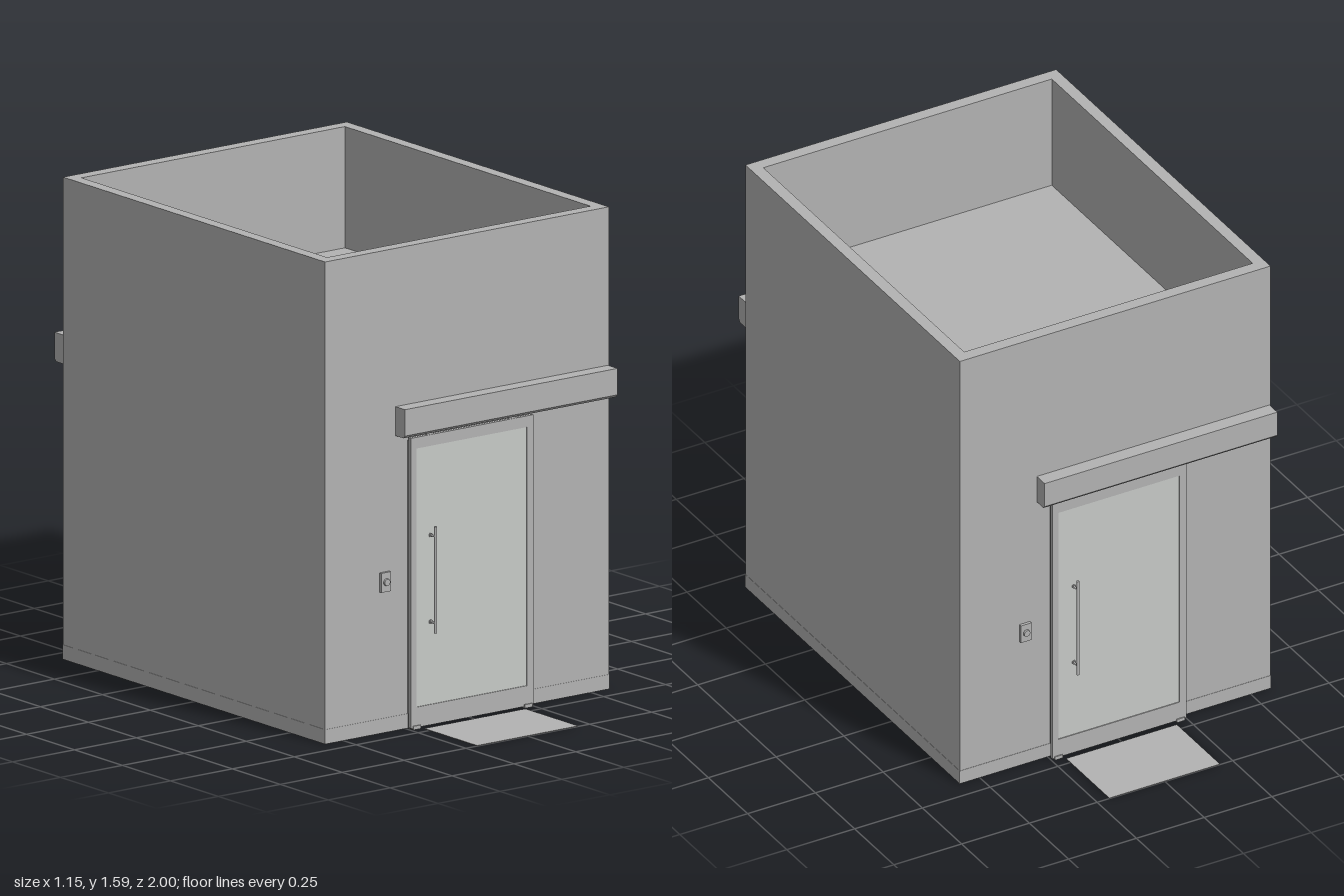
import * as THREE from 'three';

const grey = new THREE.MeshStandardMaterial({ color: 0xb3b3b3, side: THREE.DoubleSide });
grey.name = 'painted grey';
const glassMat = new THREE.MeshStandardMaterial({ color: 0xc7cac7 });
glassMat.name = 'pale glass';

const W = 0.573, D = 0.683, H = 1.59;

function add(parent, name, geo, x = 0, y = 0, z = 0, mat = grey) {
  const m = new THREE.Mesh(geo, mat);
  m.name = name;
  m.position.set(x, y, z);
  parent.add(m);
  return m;
}

// box given by its limits
function block(parent, name, x0, x1, y0, y1, z0, z1, mat) {
  return add(parent, name, new THREE.BoxGeometry(x1 - x0, y1 - y0, z1 - z0),
    (x0 + x1) / 2, (y0 + y1) / 2, (z0 + z1) / 2, mat);
}

function rect(C, x0, x1, y0, y1) {
  const p = new C();
  p.moveTo(x0, y0);
  p.lineTo(x1, y0);
  p.lineTo(x1, y1);
  p.lineTo(x0, y1);
  p.closePath();
  return p;
}

// flat frame: outer rectangle with a rectangular hole
function frame(outer, inner, depth) {
  const s = rect(THREE.Shape, ...outer);
  s.holes.push(rect(THREE.Path, ...inner));
  return new THREE.ExtrudeGeometry(s, { depth, bevelEnabled: false });
}

// everything mounted on one entrance wall
function entrance(name) {
  const g = new THREE.Group();
  g.name = name;

  // thin jamb lining on the wall
  block(g, 'jambLeft', 0.215, 0.24, 0, 0.95, D, D + 0.005);
  block(g, 'jambRight', -0.24, -0.215, 0, 0.95, D, D + 0.005);
  block(g, 'jambTop', -0.24, 0.24, 0.925, 0.95, D, D + 0.005);

  // sliding leaf with recessed pane
  add(g, 'doorFrame', frame([-0.247, 0.247, 0.005, 0.962], [-0.225, 0.222, 0.072, 0.925], 0.013), 0, 0, 0.697);
  block(g, 'doorGlass', -0.225, 0.222, 0.072, 0.925, 0.7, 0.707, glassMat);

  // hangers and floor guides
  for (const x of [-0.168, 0.165]) block(g, 'hanger', x - 0.014, x + 0.014, 0.955, 0.985, 0.699, 0.708);
  for (const x of [-0.225, 0.225]) block(g, 'floorGuide', x - 0.015, x + 0.015, 0, 0.012, D, 0.714);

  // track cover with chamfered lower edge
  const p = new THREE.Shape();
  p.moveTo(D, 0.972);
  p.lineTo(0.725, 0.972);
  p.lineTo(0.733, 0.981);
  p.lineTo(0.733, 1.068);
  p.lineTo(D, 1.068);
  p.closePath();
  const cover = new THREE.ExtrudeGeometry(p, { depth: 0.858, bevelEnabled: false });
  cover.rotateY(-Math.PI / 2);
  add(g, 'trackCover', cover, 0.569, 0, 0);

  // pull handle on two standoffs
  add(g, 'handleBar', new THREE.CylinderGeometry(0.005, 0.005, 0.352, 16), -0.168, 0.488, 0.735);
  for (const y of [0.345, 0.631]) {
    const s = add(g, 'handleStandoff', new THREE.CylinderGeometry(0.0035, 0.0035, 0.027, 12), -0.168, y, 0.722);
    s.rotation.x = Math.PI / 2;
    const r = add(g, 'handleRose', new THREE.CylinderGeometry(0.007, 0.007, 0.003, 16), -0.168, y, 0.711);
    r.rotation.x = Math.PI / 2;
  }

  // call panel
  block(g, 'callPanel', -0.353, -0.314, 0.466, 0.53, D, D + 0.01);
  const b = add(g, 'callButton', new THREE.CylinderGeometry(0.011, 0.012, 0.007, 24), -0.333, 0.498, D + 0.0125);
  b.rotation.x = Math.PI / 2;

  // mat on the ground
  block(g, 'mat', -0.205, 0.203, 0, 0.002, 0.725, 1);
  return g;
}

export function createModel() {
  const model = new THREE.Group();

  // shaft walls, open at the top
  const walls = frame([-W, W, -D, D], [-0.532, 0.532, -0.64, 0.64], H - 0.003);
  walls.rotateX(-Math.PI / 2);
  add(model, 'walls', walls, 0, 0.003, 0);

  // skirting just proud of the walls
  const e = 0.001;
  const skirt = frame([-W - e, W + e, -D - e, D + e], [-W + 0.015, W - 0.015, -D + 0.015, D - 0.015], 0.048);
  skirt.rotateX(-Math.PI / 2);
  add(model, 'skirting', skirt);

  // sunken roof and floor slab
  block(model, 'roof', -0.54, 0.54, 1.13, 1.19, -0.65, 0.65);
  block(model, 'floor', -0.557, 0.557, 0.001, 0.04, -0.667, 0.667);

  // identical entrances front and back
  model.add(entrance('frontEntrance'));
  const back = entrance('backEntrance');
  back.rotation.y = Math.PI;
  model.add(back);
  return model;
}
